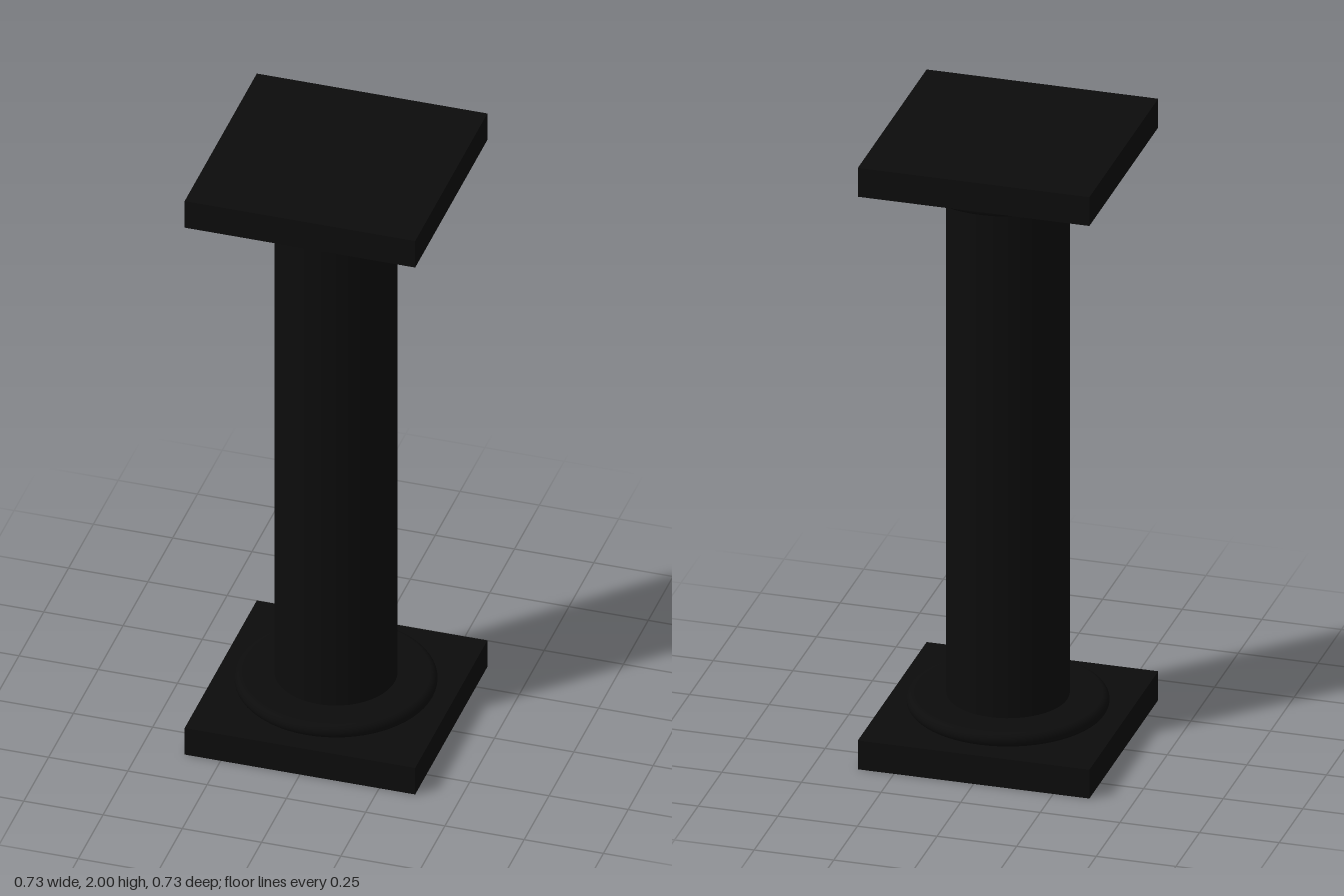
import * as THREE from 'three';

export function createModel() {
  const group = new THREE.Group();
  group.name = 'column';
  const material = new THREE.MeshStandardMaterial({ color: 0x0c0c0c });

  const add = (name, geometry, y) => {
    const mesh = new THREE.Mesh(geometry, material);
    mesh.name = name;
    mesh.position.y = y;
    group.add(mesh);
  };

  const height = 2, plateH = 0.096, plateW = 0.727;
  const ringH = 0.046, ringR = 0.306, shaftR = 0.186;

  // Round disc with a half-round rim
  const r = ringH / 2;
  const rim = new THREE.Path();
  rim.moveTo(0, -r);
  rim.lineTo(ringR - r, -r);
  rim.absarc(ringR - r, 0, r, -Math.PI / 2, Math.PI / 2, false);
  rim.lineTo(0, r);
  const ring = new THREE.LatheGeometry(rim.getPoints(10), 64);
  const plate = new THREE.BoxGeometry(plateW, plateH, plateW);

  // Matching plate and ring at the foot and the head
  for (const [end, place] of [['base', (y) => y], ['capital', (y) => height - y]]) {
    add(end + 'Plate', plate, place(plateH / 2));
    add(end + 'Ring', ring, place(plateH + r));
  }

  // Plain round shaft between the rings
  const shaftH = height - 2 * (plateH + r);
  add('shaft', new THREE.CylinderGeometry(shaftR, shaftR, shaftH, 48, 1, true), height / 2);

  return group;
}
